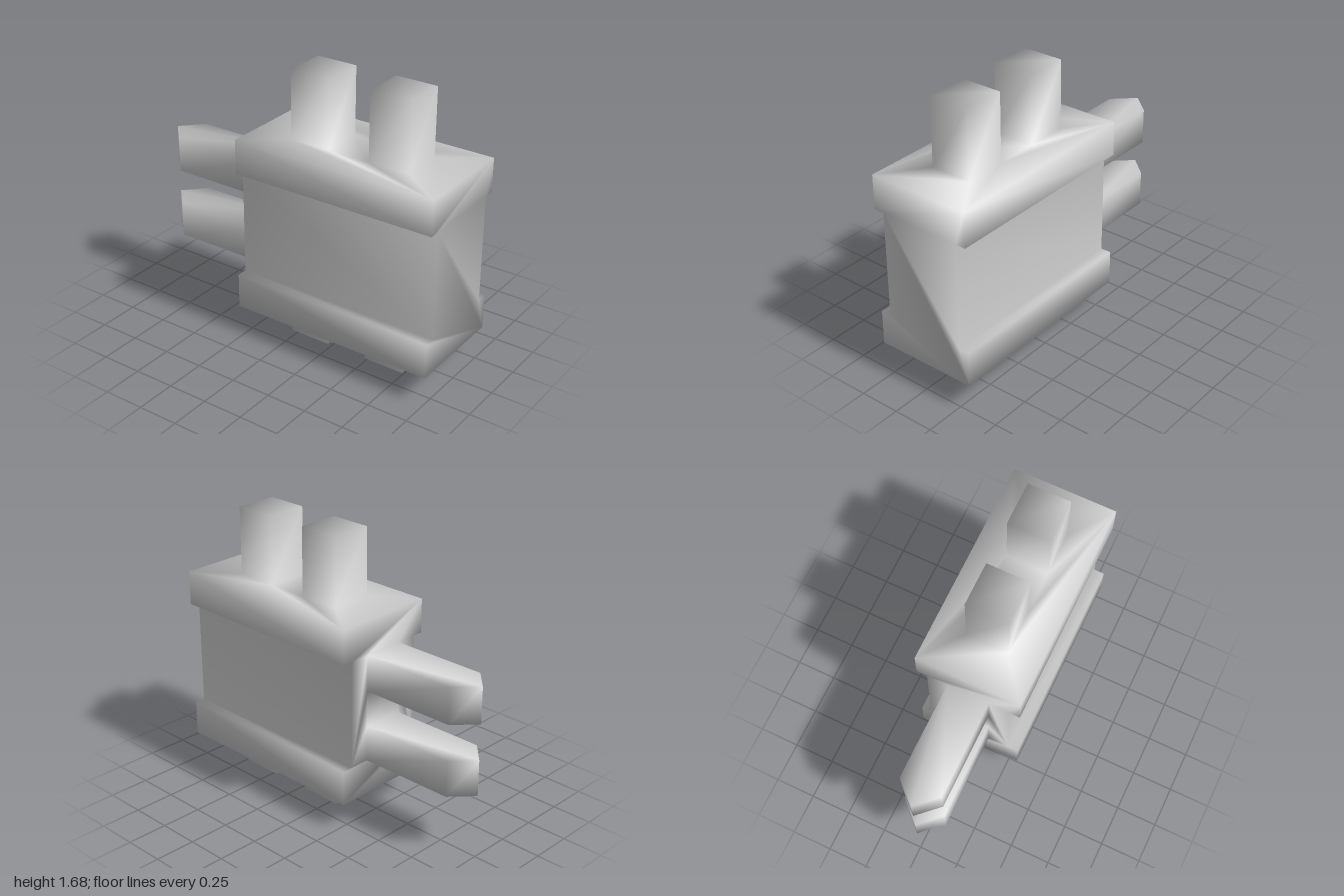
import * as THREE from 'three';
import { mergeGeometries, mergeVertices } from 'three/addons/utils/BufferGeometryUtils.js';

const FRONT = 1, BACK = -0.29;           // z limits of the body
const Y = [0, 0.175, 0.39, 1.05, 1.26, 1.68]; // foot, flanges, pin top
const W = 0.32, B = 0.255, P = 0.128;    // half widths: flange, core, pin
const UP = -Math.PI / 2, DOWN = Math.PI / 2;

const v2 = (list) => list.map(([x, y]) => new THREE.Vector2(x, y));
const rect = (x0, y0, x1, y1) => [[x0, y0], [x1, y0], [x1, y1], [x0, y1]];

// Flat panel in the xy plane, facing +z, with optional holes
function panel(points, z, holes = []) {
  const shape = new THREE.Shape(v2(points));
  shape.holes = holes.map((h) => new THREE.Path(v2(h)));
  const g = new THREE.ShapeGeometry(shape).toNonIndexed().translate(0, 0, z);
  g.deleteAttribute('normal');
  g.deleteAttribute('uv');
  return g;
}

// Walls along an anticlockwise outline, from z0 to z1
function walls(points, z0, z1, closed = true) {
  const pos = [];
  points.forEach(([ax, ay], i) => {
    if (!closed && i === points.length - 1) return;
    const [bx, by] = points[(i + 1) % points.length];
    pos.push(ax, ay, z0, bx, by, z0, bx, by, z1, ax, ay, z0, bx, by, z1, ax, ay, z1);
  });
  return new THREE.BufferGeometry().setAttribute('position', new THREE.Float32BufferAttribute(pos, 3));
}

export function createModel() {
  const grey = new THREE.MeshStandardMaterial({ color: 0xcccccc });
  grey.name = 'light grey';
  const parts = [];
  const add = (name, ...geos) => parts.push({ name, geo: mergeGeometries(geos) });

  // Body: I-shaped section with openings where pins and prongs join
  const right = [[W, Y[1]], [W, Y[2]], [B, Y[2]], [B, Y[3]], [W, Y[3]], [W, Y[4]]];
  const left = right.map(([x, y]) => [-x, y]).reverse();
  const pinZ = [[0.48, 0.74], [-0.04, 0.22]];
  const prongY = [[0.39, 0.61], [0.83, 1.05]];
  const outline = [...right, ...left];
  add('body',
    panel(outline, FRONT),
    panel(outline, -BACK, prongY.map(([a, b]) => rect(-P, a, P, b))).rotateY(Math.PI),
    walls(right, BACK, FRONT, false),
    walls(left, BACK, FRONT, false),
    panel(rect(-W, -FRONT, W, -BACK), Y[4], pinZ.map(([a, b]) => rect(-P, -b, P, -a))).rotateX(UP),
    panel(rect(-W, BACK, W, FRONT), -Y[1], pinZ.map(([a, b]) => rect(-P, a, P, b))).rotateX(DOWN));

  // Square pins above and short feet below
  pinZ.forEach(([a, b], i) => {
    const top = rect(-P, -b, P, -a), foot = rect(-P, a, P, b);
    const place = i ? 'rear' : 'front';
    add(place + 'Pin', walls(top, Y[4], Y[5]).rotateX(UP), panel(top, Y[5]).rotateX(UP));
    add(place + 'Foot', walls(foot, -Y[1], 0).rotateX(DOWN), panel(foot, 0).rotateX(DOWN));
  });

  // Wedge-tipped prongs at the back
  const prong = [[P, -BACK], [P, 0.88], [0, 1], [-P, 0.88], [-P, -BACK]];
  prongY.forEach(([a, b], i) => {
    add(i ? 'upperProng' : 'lowerProng',
      walls(prong, a, b, false).rotateX(UP),
      panel(prong, b).rotateX(UP),
      panel(prong.map(([x, y]) => [x, -y]), -a).rotateX(DOWN));
  });

  // Weld everything so the smooth normals run across the joints
  const welded = mergeVertices(mergeGeometries(parts.map((p) => p.geo)), 1e-4);
  welded.computeVertexNormals();

  // One mesh per part, sharing the welded vertices
  const group = new THREE.Group();
  group.name = 'pinnedBlock';
  let start = 0;
  for (const { name, geo } of parts) {
    const count = geo.attributes.position.count;
    const part = new THREE.BufferGeometry();
    part.setAttribute('position', welded.attributes.position);
    part.setAttribute('normal', welded.attributes.normal);
    part.setIndex(Array.from(welded.index.array.slice(start, start + count)));
    start += count;
    const mesh = new THREE.Mesh(part, grey);
    mesh.name = name;
    group.add(mesh);
  }
  return group;
}
